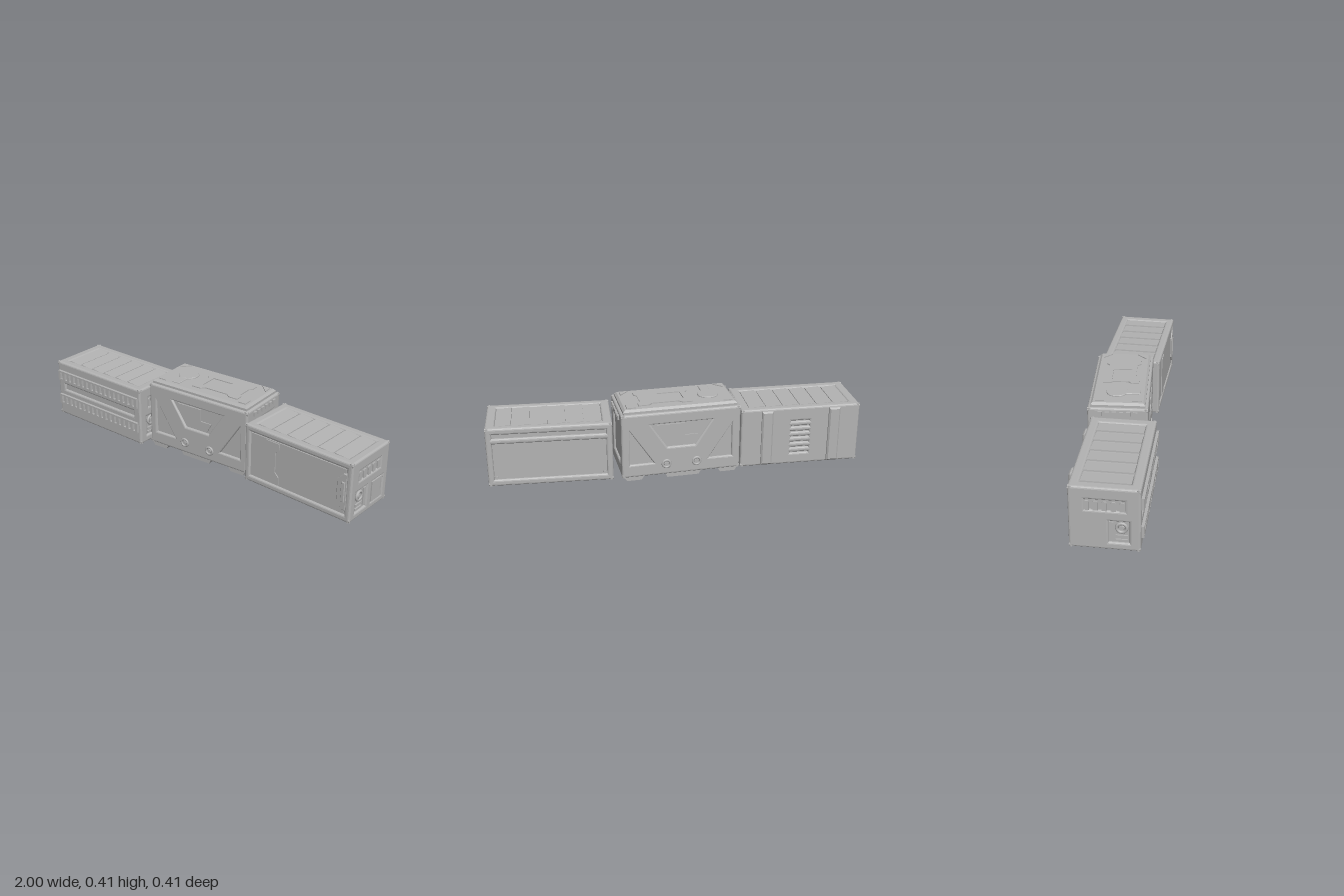
import * as THREE from 'three';

const T = 0.011; // edge rounding and recess depth
const grey = new THREE.MeshStandardMaterial({ color: 0xb3b3b3 });
grey.name = 'hull grey';

function poly(points) {
  return new THREE.Shape(points.map(([x, y]) => new THREE.Vector2(x, y)));
}
function rect(x0, y0, x1, y1) {
  return poly([[x0, y0], [x1, y0], [x1, y1], [x0, y1]]);
}
function circle(x, y, r) {
  return new THREE.Shape().absarc(x, y, r, 0, Math.PI * 2);
}
function add(parent, name, geometry, x = 0, y = 0, z = 0) {
  const mesh = new THREE.Mesh(geometry, grey);
  mesh.name = name;
  mesh.position.set(x, y, z);
  parent.add(mesh);
  return mesh;
}
// Raised plate on a face: from height z0 up by h
function slab(parent, name, shape, z0, h, bevel = 0) {
  const g = new THREE.ExtrudeGeometry(shape, {
    depth: h - bevel, bevelEnabled: bevel > 0, bevelThickness: bevel, bevelSize: bevel,
    bevelOffset: -bevel, bevelSegments: 1, curveSegments: 20,
  });
  return add(parent, name, g, 0, 0, z0);
}
// Rounded outer plate whose holes become recesses down to the core
function skin(parent, name, w, h, holes) {
  const shape = rect(-w / 2, -h / 2, w / 2, h / 2);
  shape.holes = holes;
  const g = new THREE.ExtrudeGeometry(shape, {
    depth: 0.001, bevelThickness: T, bevelSize: T, bevelOffset: -T, bevelSegments: 3,
  });
  return add(parent, name, g, 0, 0, -T - 0.001);
}
// Box with six plated faces; returns a group per face, with +z pointing outward
function hull(name, w, h, d, holes) {
  const group = new THREE.Group();
  group.name = name;
  add(group, 'core', new THREE.BoxGeometry(w - 2 * T, h - 2 * T, d - 2 * T));
  const sides = {
    front: [w, h, [0, 0, d / 2], [0, 0]], back: [w, h, [0, 0, -d / 2], [0, Math.PI]],
    left: [d, h, [w / 2, 0, 0], [0, Math.PI / 2]], right: [d, h, [-w / 2, 0, 0], [0, -Math.PI / 2]],
    top: [w, d, [0, h / 2, 0], [-Math.PI / 2, 0]], bottom: [w, d, [0, -h / 2, 0], [Math.PI / 2, 0]],
  };
  const faces = { group };
  for (const [side, [a, b, p, r]] of Object.entries(sides)) {
    const face = new THREE.Group();
    face.name = side + 'Face';
    face.position.set(...p);
    face.rotation.set(r[0], r[1], 0);
    group.add(face);
    skin(face, side + 'Plate', a, b, holes[side] || []);
    faces[side] = face;
  }
  return faces;
}

// Round bolt with a raised collar
function bolt(face, name, x, y, r, z) {
  add(face, name + 'Collar', new THREE.TorusGeometry(r * 0.78, r * 0.25, 8, 24), x, y, z);
  add(face, name + 'Centre', new THREE.CylinderGeometry(r * 0.4, r * 0.5, 0.008, 16).rotateX(Math.PI / 2), x, y, z);
}

// Container ends: slot, dial panel and notched latch panel
function endHoles(s, latch) {
  const r = (a, b, c, d) => rect(Math.min(a * s, c * s), b, Math.max(a * s, c * s), d);
  const holes = [r(-0.095, 0.045, 0.09, 0.1), r(-0.115, -0.125, -0.02, -0.01)];
  if (latch) holes.push(r(0.026, -0.125, 0.12, -0.01));
  return holes;
}
function endDetails(face, s, latch) {
  for (let i = 0; i < 5; i++) {
    const x = -0.082 + i * 0.041;
    slab(face, 'slotBlock', poly([[x - 0.012, 0.042], [x + 0.012, 0.042], [x + 0.012, 0.084],
      [x + 0.008, 0.09], [x - 0.008, 0.09], [x - 0.012, 0.084]]), -T, 0.007);
  }
  bolt(face, 'dial', -0.079 * s, -0.043, 0.03, -0.006);
  for (const y of [-0.09, -0.113]) {
    slab(face, 'dialBar', rect(-0.079 * s - 0.028, y - 0.006, -0.079 * s + 0.028, y + 0.006), -T, 0.007);
  }
  slab(face, 'dialPost', rect(-0.031 * s - 0.01, -0.115, -0.031 * s + 0.01, -0.015), -T, 0.007);
  if (latch) {
    slab(face, 'latchPlate', poly([[0.032, -0.132], [0.128, -0.132], [0.128, -0.105], [0.095, -0.085],
      [0.095, -0.04], [0.11, -0.012], [0.128, -0.027], [0.128, -0.015], [0.032, -0.015]]), -T, 0.008);
  }
}

// Long cargo container with slatted roof and detailed ends
function container(name, w, h, d, sideHoles) {
  const c = hull(name, w, h, d, {
    ...sideHoles, top: [rect(-0.275, -0.118, 0.275, 0.118)],
    left: endHoles(1, true), right: endHoles(-1, false),
  });
  for (let i = 0; i < 6; i++) {
    const slat = add(c.top, 'roofSlat', new THREE.BoxGeometry(0.08, 0.236, 0.008), -0.233 + i * 0.0932, 0, -0.008);
    slat.rotation.y = 0.07;
  }
  endDetails(c.left, 1, true);
  endDetails(c.right, -1, false);
  return c;
}

function ventedContainer() {
  const vents = [];
  for (let i = 0; i < 7; i++) vents.push(rect(-0.05, -0.103 + i * 0.031, 0.05, -0.099 + i * 0.031));
  const c = container('ventedContainer', 0.655, 0.33, 0.335, {
    front: [rect(-0.275, -0.004, 0.275, 0.029)], back: vents,
  });
  // Slotted rails
  for (const y of [-0.065, 0.085]) {
    const rail = rect(-0.313, y - 0.03, 0.313, y + 0.03);
    for (let i = 0; i < 17; i++) {
      const x = -0.288 + i * 0.036;
      rail.holes.push(rect(x - 0.009, y - 0.021, x + 0.009, y + 0.021));
    }
    slab(c.front, 'slottedRail', rail, 0, 0.014);
  }
  // Vertical straps
  for (const x of [-0.185, 0.185]) {
    slab(c.back, 'strap', rect(x - 0.031, -0.155, x + 0.031, 0.155), 0, 0.016, 0.008);
  }
  c.group.position.set(-0.672, 0.17, 0.025);
  return c.group;
}

function panelContainer() {
  const c = container('panelContainer', 0.65, 0.325, 0.325, {
    front: [rect(-0.292, -0.127, 0.292, 0.127)],
    back: [rect(-0.292, -0.127, 0.292, 0.075), rect(-0.292, 0.105, 0.292, 0.127)],
  });
  // Door with grip plate and side latch
  slab(c.front, 'door', rect(-0.287, -0.122, 0.287, 0.122), -T, 0.005);
  slab(c.front, 'gripPlate', poly([[-0.187, -0.117], [-0.107, -0.117], [-0.107, -0.075], [-0.13, -0.05],
    [-0.13, 0.06], [-0.107, 0.085], [-0.107, 0.117], [-0.187, 0.117]]), -T, 0.01);
  slab(c.front, 'sideLatch', poly([[0.3, -0.1], [0.3, 0.1], [0.278, 0.1], [0.242, 0.062],
    [0.242, -0.062], [0.278, -0.1]]), -T, 0.012, 0.004);
  slab(c.front, 'latchBar', rect(0.268, -0.055, 0.29, 0.055), -T, 0.017, 0.003);
  // Rear panel screws
  for (const x of [-0.28, 0.28]) {
    for (const y of [-0.115, 0.066]) slab(c.back, 'screw', circle(x, y, 0.007), -T, 0.008);
  }
  c.group.position.set(0.667, 0.172, -0.017);
  c.group.rotation.y = -0.033;
  return c.group;
}

function centralUnit() {
  const w = 0.64, h = 0.355, d = 0.31;
  const sideHoles = () => [
    poly([[-0.275, -0.105], [-0.15, -0.105], [-0.275, 0.085]]),
    poly([[0.275, -0.105], [0.275, 0.085], [0.15, -0.105]]),
    poly([[-0.075, -0.02], [0.075, -0.02], [0.165, 0.115], [-0.165, 0.115]]),
  ];
  const c = hull('centralUnit', w, h, d, {
    front: sideHoles(), back: sideHoles(), left: [rect(-0.1, -0.11, 0.1, 0.1)], right: [rect(-0.1, -0.11, 0.1, 0.1)],
  });
  for (const face of [c.front, c.back]) {
    slab(face, 'centreInset', poly([[-0.062, -0.012], [0.062, -0.012], [0.09, 0.04], [0.02, 0.04],
      [0.02, 0.108], [-0.13, 0.108]]), -T, 0.006);
    for (const x of [-0.082, 0.082]) bolt(face, 'sideBolt', x, -0.115, 0.026, 0.001);
  }
  // Teeth below the lid at both ends
  for (const face of [c.left, c.right]) {
    for (let i = 0; i < 6; i++) {
      add(face, 'lidTooth', new THREE.BoxGeometry(0.022, 0.024, 0.016), -0.09 + i * 0.036, 0.15, 0.002);
    }
  }
  // Lid with a keyhole cover, waisted hatch and corner wedges
  slab(c.top, 'lid', rect(-0.305, -0.14, 0.305, 0.14), -0.002, 0.025, 0.011);
  const lidY = 0.023;
  slab(c.top, 'keyholeDisc', circle(-0.175, 0.012, 0.056), lidY - 0.002, 0.009, 0.003);
  slab(c.top, 'keyholeStem', rect(-0.2, -0.11, -0.15, -0.03), lidY - 0.002, 0.008, 0.003);
  const hatch = [[-0.075, -0.095], [-0.02, -0.095], [0, -0.075], [0.14, -0.075], [0.16, -0.095], [0.215, -0.095],
    [0.215, -0.055], [0.2, -0.04], [0.2, 0.04], [0.215, 0.055], [0.215, 0.095], [0.16, 0.095], [0.14, 0.075],
    [0, 0.075], [-0.02, 0.095], [-0.075, 0.095], [-0.075, 0.055], [-0.06, 0.04], [-0.06, -0.04], [-0.075, -0.055]];
  const hatchShape = poly(hatch);
  hatchShape.holes.push(rect(-0.035, -0.05, 0.09, 0.05));
  slab(c.top, 'hatch', hatchShape, lidY - 0.002, 0.007);
  for (const sx of [-1, 1]) {
    for (const sz of [-1, 1]) {
      const p = [[0.282, 0.118], [0.235, 0.118], [0.282, 0.07]].map(([x, y]) => [x * sx, y * sz]);
      slab(c.top, 'cornerWedge', poly(p), lidY - 0.002, 0.007);
    }
  }
  // Three skids across the underside
  for (const [x0, x1] of [[-0.315, -0.195], [-0.115, 0.095], [0.195, 0.315]]) {
    const skid = poly([[x0, 0.012], [x0 + 0.02, -0.02], [x1 - 0.02, -0.02], [x1, 0.012]]);
    const g = new THREE.ExtrudeGeometry(skid, { depth: d - 0.01, bevelEnabled: false });
    add(c.group, 'skid', g, 0, -h / 2, -d / 2 + 0.005);
  }
  c.group.position.set(-0.005, 0.02 + h / 2, -0.032);
  c.group.rotation.y = 0.067;
  return c.group;
}

export function createModel() {
  const model = new THREE.Group();
  model.name = 'cargoContainers';
  model.add(ventedContainer(), centralUnit(), panelContainer());
  return model;
}
